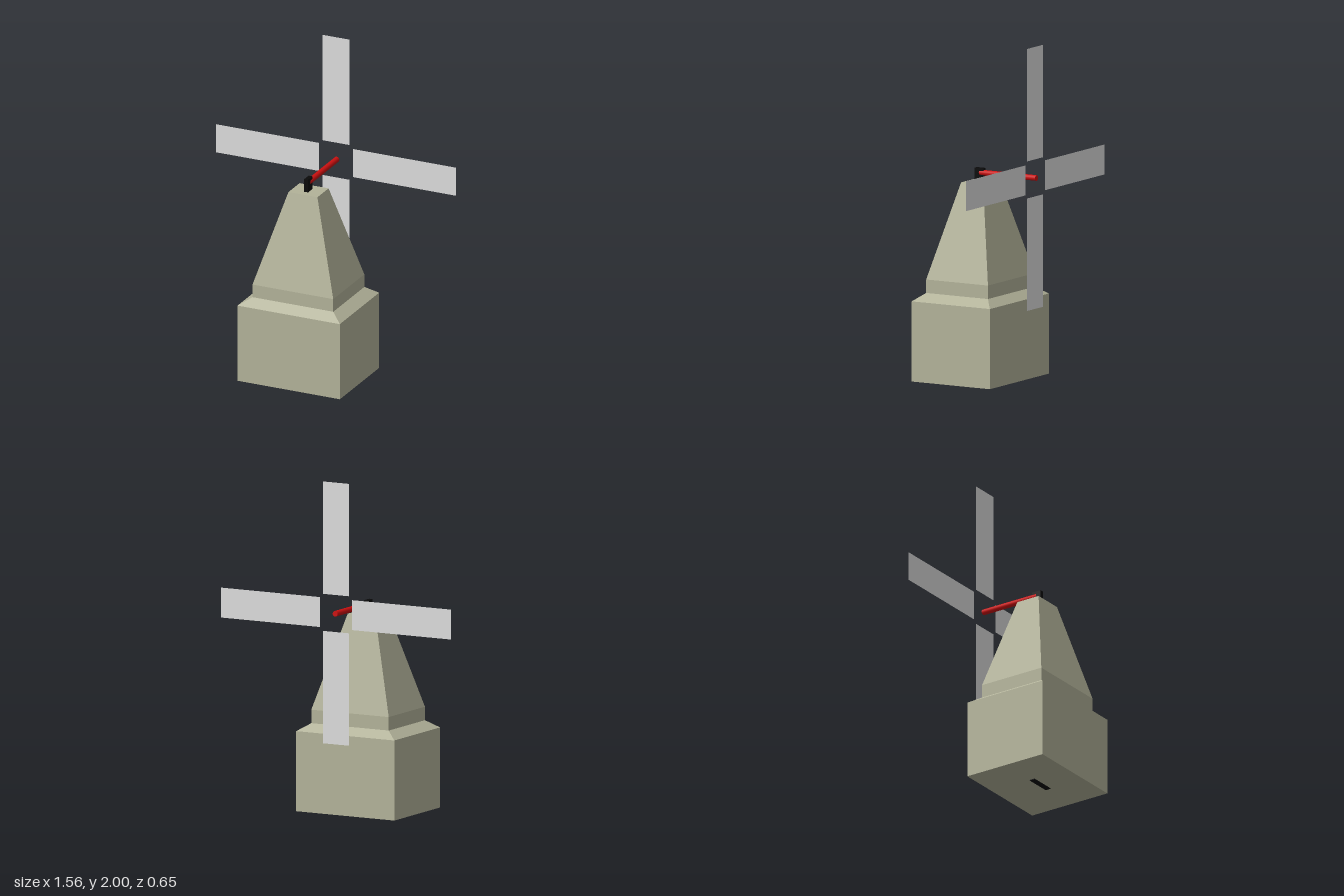
import * as THREE from 'three';

const stone = new THREE.MeshStandardMaterial({ name: 'stone', color: 0xb2b299 });
const sailGrey = new THREE.MeshStandardMaterial({ name: 'sail grey', color: 0xdcdcdc, side: THREE.DoubleSide });
const red = new THREE.MeshStandardMaterial({ name: 'axle red', color: 0xcc1010 });
const black = new THREE.MeshStandardMaterial({ name: 'black', color: 0x0a0a0a });

// Flat-sided tower from stacked rectangles: [y, half width, back z, front z]
function rectLoft(sections) {
  const rings = sections.map(([y, w, b, f]) => [[-w, y, f], [w, y, f], [w, y, b], [-w, y, b]]);
  const pos = [];
  const quad = (a, b, c, d) => pos.push(...a, ...b, ...c, ...a, ...c, ...d);
  for (let i = 0; i < rings.length - 1; i++) {
    const lo = rings[i], hi = rings[i + 1];
    for (let k = 0; k < 4; k++) {
      const n = (k + 1) % 4;
      quad(lo[k], lo[n], hi[n], hi[k]);
    }
  }
  quad(...rings[rings.length - 1]);
  quad(...[...rings[0]].reverse());
  const geo = new THREE.BufferGeometry();
  geo.setAttribute('position', new THREE.Float32BufferAttribute(pos, 3));
  geo.computeVertexNormals();
  return geo;
}

export function createModel() {
  const model = new THREE.Group();
  model.name = 'windmill';
  const add = (name, geo, mat, x, y, z, parent = model) => {
    const mesh = new THREE.Mesh(geo, mat);
    mesh.name = name;
    mesh.position.set(x, y, z);
    parent.add(mesh);
    return mesh;
  };

  // Stepped base and tapering tower
  add('tower', rectLoft([
    [0.004, 0.332, -0.21, 0.327],
    [0.48, 0.332, -0.21, 0.327],
    [0.525, 0.262, -0.154, 0.27],
    [0.605, 0.262, -0.154, 0.27],
    [1.17, 0.094, -0.019, 0.133],
  ]), stone, 0, 0, 0);

  // Thin plate under the base
  add('basePlate', new THREE.BoxGeometry(0.165, 0.007, 0.034), black, 0, 0.0035, 0.078);

  // Bearing block and the axle reaching out behind the tower
  add('bearingBlock', new THREE.BoxGeometry(0.025, 0.08, 0.06), black, 0, 1.21, 0.06);
  const axle = add('axle', new THREE.CylinderGeometry(0.017, 0.017, 0.387, 16), red, 0, 1.222, -0.1345);
  axle.rotation.x = Math.PI / 2;

  // Four flat sails around the axle end
  const sails = new THREE.Group();
  sails.name = 'sails';
  sails.position.set(0, 1.222, -0.318);
  model.add(sails);
  for (let i = 0; i < 4; i++) {
    const arm = new THREE.Group();
    arm.name = 'sailArm';
    arm.rotation.z = i * Math.PI / 2;
    sails.add(arm);
    add('sail', new THREE.PlaneGeometry(0.178, 0.668), sailGrey, 0, 0.444, 0, arm);
  }
  return model;
}
